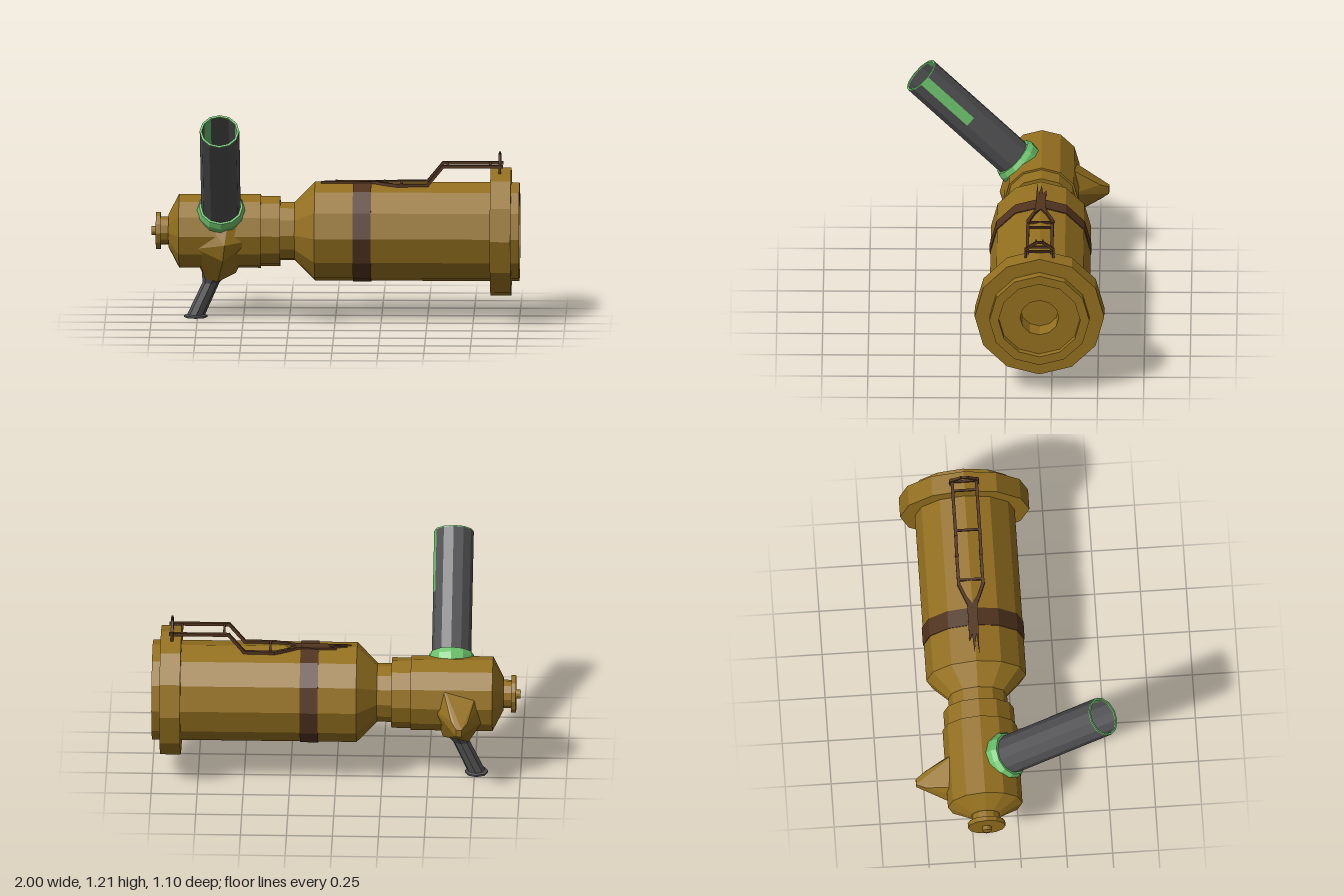
import * as THREE from 'three';
import { ConvexGeometry } from 'three/addons/geometries/ConvexGeometry.js';

const AXIS_Y = 0.475, AXIS_Z = -0.184;
const mat = (color) => new THREE.MeshStandardMaterial({ color, flatShading: true, side: THREE.DoubleSide });

export function createModel() {
  const model = new THREE.Group();
  const brass = mat(0x94701f), brown = mat(0x51341f), grey = mat(0x505052), green = mat(0x6cc36c);

  const add = (parent, name, geometry, material) => {
    const mesh = new THREE.Mesh(geometry, material);
    mesh.name = name;
    parent.add(mesh);
    return mesh;
  };
  const lathe = (points, sides = 12) =>
    new THREE.LatheGeometry(points.map(([r, y]) => new THREE.Vector2(r, y)), sides);
  const hull = (points) => new ConvexGeometry(points.map((p) => new THREE.Vector3(...p)));

  // Parts turned about the long axis, profile given as [radius, x]
  const turned = (name, profile, material) => {
    const mesh = add(model, name, lathe(profile).rotateZ(-Math.PI / 2), material);
    mesh.position.set(0, AXIS_Y, AXIS_Z);
  };
  turned('endCap', [
    [0, -1], [0.025, -1], [0.025, -0.976], [0.102, -0.976], [0.102, -0.95],
    [0.077, -0.95], [0.077, -0.9],
  ], brass);
  turned('body', [
    [0, -0.908], [0.09, -0.908], [0.203, -0.85], [0.203, -0.405], [0.192, -0.405],
    [0.192, -0.3], [0.16, -0.3], [0.16, -0.222], [0.272, -0.112], [0.272, 0.843],
    [0.352, 0.843], [0.352, 0.955], [0.272, 0.955], [0.272, 1], [0.222, 1],
    [0.222, 0.965], [0.105, 0.965], [0.105, 0.86], [0, 0.86],
  ], brass);
  turned('strap', [
    [0.268, 0.096], [0.277, 0.096], [0.277, 0.195], [0.268, 0.195],
  ], brown);

  // Slanted hollow tube with coloured rim, collar and stripes
  const tube = new THREE.Group();
  tube.name = 'slantedTube';
  tube.position.set(-0.62, AXIS_Y, AXIS_Z);
  tube.rotation.x = Math.PI / 4;
  model.add(tube);
  const END = 0.93, STEP = Math.PI / 6;
  add(tube, 'tubeWall', lathe([
    [0.107, 0.1], [0.107, END - 0.004], [0.097, END - 0.004], [0.097, 0.25], [0, 0.25],
  ]), grey);
  add(tube, 'tubeRim', lathe([
    [0.108, END - 0.006], [0.108, END], [0.096, END], [0.096, END - 0.006],
  ]), green);
  add(tube, 'tubeCollar', lathe([
    [0.125, 0.12], [0.131, 0.195], [0.119, 0.225], [0.105, 0.225],
  ]), green);
  const stripe = (name, radius, start) => {
    const g = new THREE.CylinderGeometry(radius, radius, 0.357, 1, 1, true, start, STEP);
    add(tube, name, g.translate(0, END - 0.357 / 2, 0), green);
  };
  stripe('outerStripe', 0.1085, Math.PI / 2);
  stripe('innerStripeLeft', 0.0955, Math.PI / 2);
  stripe('innerStripeRight', 0.0955, Math.PI + STEP);

  // Faceted fin standing out at the back, and its lump at the front
  add(model, 'backFin', hull([
    [-0.69, 0.43, -0.55], [-0.66, 0.43, -0.55], [-0.69, 0.39, -0.55], [-0.66, 0.39, -0.55],
    [-0.72, 0.45, -0.5], [-0.63, 0.46, -0.5], [-0.67, 0.35, -0.5],
    [-0.77, 0.56, -0.31], [-0.57, 0.61, -0.3], [-0.53, 0.45, -0.34],
    [-0.79, 0.38, -0.36], [-0.72, 0.22, -0.26], [-0.58, 0.25, -0.26],
    [-0.85, 0.5, -0.19], [-0.5, 0.6, -0.17],
  ]), brass);
  add(model, 'frontLump', hull([
    [-0.58, 0.575, 0.01], [-0.46, 0.45, -0.005], [-0.6, 0.43, 0.045], [-0.76, 0.405, -0.005],
    [-0.69, 0.54, -0.01], [-0.61, 0.34, 0.02], [-0.64, 0.205, -0.11], [-0.71, 0.22, -0.14],
    [-0.54, 0.255, -0.12], [-0.62, 0.4, -0.2],
  ]), brass);

  // Leaning leg: a turned shape sheared along x
  const leg = lathe([
    [0, 0], [0.063, 0], [0.063, 0.01], [0.049, 0.016], [0.046, 0.19], [0.082, 0.26], [0.082, 0.31], [0, 0.31],
  ], 8);
  const lp = leg.attributes.position;
  for (let i = 0; i < lp.count; i++) lp.setX(i, lp.getX(i) + Math.max(0, lp.getY(i) - 0.01) * 0.46);
  leg.computeVertexNormals();
  add(model, 'leg', leg, grey).position.set(-0.76, 0, AXIS_Z);

  // Top rail built from straight beams
  const rail = new THREE.Group();
  rail.name = 'topRail';
  rail.position.z = AXIS_Z;
  model.add(rail);
  const beam = (name, a, b, w = 0.014) => {
    const from = new THREE.Vector3(...a), to = new THREE.Vector3(...b);
    const mesh = add(rail, name, new THREE.BoxGeometry(w, w, from.distanceTo(to) + w * 0.6), brown);
    mesh.position.copy(from).add(to).multiplyScalar(0.5);
    mesh.lookAt(to.clone().add(new THREE.Vector3(0, 0, AXIS_Z)));
  };
  const RAIL_Z = 0.066;
  for (const s of [1, -1]) {
    const z = s * RAIL_Z;
    const path = [[0.19, 0.745, s * 0.01], [0.335, 0.738, z], [0.5, 0.74, z], [0.585, 0.843, z], [0.905, 0.843, z]];
    for (let i = 1; i < path.length; i++) beam('railBar', path[i - 1], path[i], 0.017);
    // Sight frame at the end of the rail
    beam('sightPost', [0.893, 0.805, s * 0.074], [0.893, 0.858, s * 0.074]);
    beam('sightArch', [0.893, 0.858, s * 0.074], [0.893, 0.897, s * 0.018]);
    beam('sightProng', [0.893, 0.89, s * 0.018], [0.893, 0.91, s * 0.018], 0.009);
  }
  for (const [x, y] of [[0.36, 0.743], [0.61, 0.843], [0.84, 0.843], [0.893, 0.843], [0.893, 0.897]]) {
    const half = y > 0.89 ? 0.018 : RAIL_Z;
    beam('crossBar', [x, y, -half], [x, y, half], 0.012);
  }

  // Pointed flat plates where the rail meets the strap
  const spear = new THREE.Shape();
  [[-0.08, -0.02], [0.05, -0.012], [-0.06, 0.005], [0.04, 0.012], [0, 0.03], [0.2, 0.028],
    [0.27, 0.035], [0.22, 0], [0.27, -0.035], [0.2, -0.028]]
    .forEach(([x, z], i) => (i ? spear.lineTo(x, z) : spear.moveTo(x, z)));
  const plate = new THREE.ExtrudeGeometry(spear, { depth: 0.012, bevelEnabled: false });
  add(rail, 'spearPlate', plate.rotateX(-Math.PI / 2), brown).position.y = 0.741;

  return model;
}
